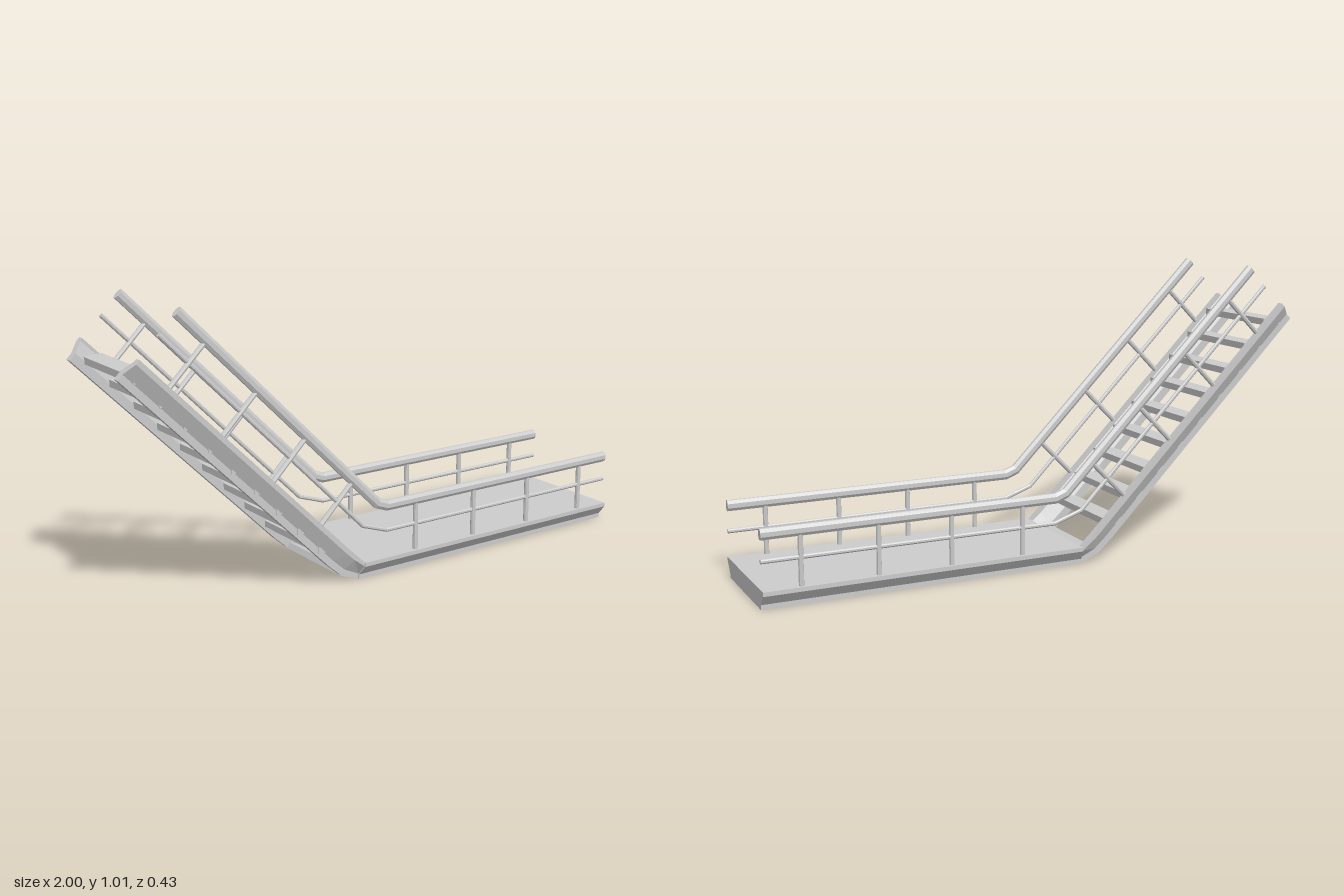
import * as THREE from 'three';

const material = new THREE.MeshStandardMaterial({ color: 0xcccccc, flatShading: true });

// Solid swept through sections [topX, topY, bottomX, bottomY]; profile points are
// [z, t], with t running from 0 at the top of a section to 1 at its bottom.
function loft(name, sections, profile) {
  let ring = profile.map(([z, t]) => new THREE.Vector2(z, t));
  if (THREE.ShapeUtils.area(ring) < 0) ring = ring.reverse();
  const n = ring.length;
  const positions = [];
  const index = [];
  for (const [tx, ty, bx, by] of sections) {
    for (const p of ring) positions.push(tx + (bx - tx) * p.y, ty + (by - ty) * p.y, p.x);
  }
  for (let i = 0; i < sections.length - 1; i++) {
    for (let j = 0; j < n; j++) {
      const a = i * n + j;
      const b = i * n + ((j + 1) % n);
      index.push(a, b, b + n, a, b + n, a + n);
    }
  }
  const last = (sections.length - 1) * n;
  for (const [a, b, c] of THREE.ShapeUtils.triangulateShape(ring, [])) {
    index.push(a, c, b, last + a, last + b, last + c);
  }
  const indexed = new THREE.BufferGeometry();
  indexed.setAttribute('position', new THREE.Float32BufferAttribute(positions, 3));
  indexed.setIndex(index);
  const geometry = indexed.toNonIndexed();
  geometry.computeVertexNormals();
  const mesh = new THREE.Mesh(geometry, material);
  mesh.name = name;
  return mesh;
}

// Eight-sided rail along a path in the xy plane, mitred at its bends
function rail(name, path, z, halfHeight, halfWidth) {
  const points = path.map(([x, y]) => new THREE.Vector2(x, y));
  const sections = points.map((p, i) => {
    const before = p.clone().sub(points[Math.max(i - 1, 0)]).normalize();
    const after = points[Math.min(i + 1, points.length - 1)].clone().sub(p).normalize();
    const along = before.add(after).normalize();
    const dx = -along.y * halfHeight;
    const dy = along.x * halfHeight;
    return [p.x + dx, p.y + dy, p.x - dx, p.y - dy];
  });
  const profile = [];
  for (let i = 0; i < 8; i++) {
    const a = ((i + 0.5) / 8) * Math.PI * 2;
    const k = 1 / Math.cos(Math.PI / 8);
    profile.push([z + Math.cos(a) * halfWidth * k, 0.5 + Math.sin(a) * 0.5 * k]);
  }
  return loft(name, sections, profile);
}

export function createModel() {
  const model = new THREE.Group();
  model.name = 'stairwayWithLanding';

  // Landing slab with undercut sides
  const half = [[0.215, 0], [0.215, 0.22], [0.187, 0.75], [0.187, 1]];
  const slab = [...half, ...half.map(([z, t]) => [-z, t]).reverse()];
  model.add(loft('landing', [[-0.13, 0.065, -0.14, 0], [1, 0.065, 1, 0]], slab));

  // Upturned lip joining the landing to the flight
  model.add(loft('landingLip',
    [[-0.2, 0.045, -0.21, 0.025], [-0.13, 0.02, -0.14, 0]],
    [[0.18, 0], [0.18, 1], [-0.18, 1], [-0.18, 0]]));

  // Treads
  const treads = new THREE.Group();
  treads.name = 'treads';
  for (let i = 0; i < 9; i++) {
    const tread = new THREE.Mesh(new THREE.BoxGeometry(0.072, 0.023, 0.37), material);
    tread.name = 'tread';
    tread.position.set(-0.265 - 0.0812 * i, 0.136 + 0.0835 * i, 0);
    treads.add(tread);
  }
  model.add(treads);

  // Stringer, rails and posts on each side
  const channel = [[0.21, 0], [0.21, 0.2], [0.182, 0.72], [0.182, 1],
    [0.156, 1], [0.156, 0.65], [0.188, 0.12], [0.188, 0]];
  for (const side of [1, -1]) {
    const group = new THREE.Group();
    group.name = side > 0 ? 'leftSide' : 'rightSide';
    const z = 0.197 * side;

    group.add(loft('stringer', [
      [-0.94, 0.87, -1, 0.81],
      [-0.19, 0.122, -0.26, 0.072],
      [-0.165, 0.098, -0.205, 0.024],
      [-0.13, 0.065, -0.14, 0],
    ], channel.map(([pz, t]) => [pz * side, t])));

    group.add(rail('handrail',
      [[-0.808, 0.998], [-0.07, 0.262], [-0.03, 0.247], [1, 0.247]], z, 0.018, 0.0125));
    group.add(rail('midRail',
      [[-0.87, 0.935], [-0.13, 0.193], [-0.03, 0.159], [1, 0.159]], z, 0.007, 0.006));

    const post = (x, y, length, tilt) => {
      const mesh = new THREE.Mesh(new THREE.CylinderGeometry(0.009, 0.009, length, 8), material);
      mesh.name = 'post';
      mesh.position.set(x, y, z);
      mesh.rotation.z = tilt;
      group.add(mesh);
    };
    // Upright posts on the landing, tilted posts on the flight
    for (const x of [0.095, 0.355, 0.61, 0.87]) post(x, 0.15, 0.18, 0);
    for (const x of [-0.84, -0.662, -0.482, -0.3]) {
      post(x + 0.06, -0.07 - x + 0.06, 0.185, -Math.PI / 4);
    }
    model.add(group);
  }
  return model;
}
